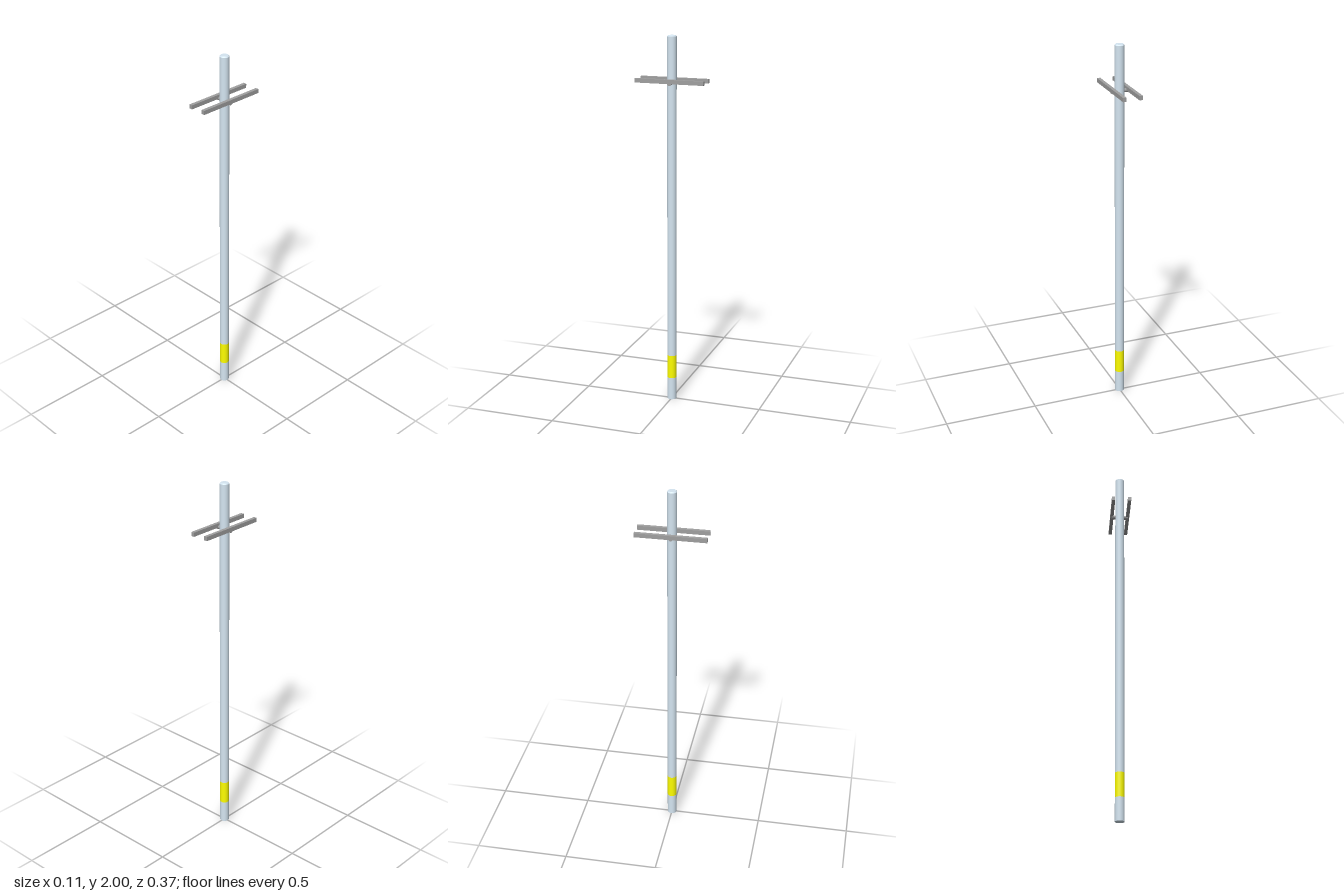
import * as THREE from 'three';

const paint = (color) => new THREE.MeshStandardMaterial({ color });

export function createModel() {
  const group = new THREE.Group();
  const steel = paint(0xd5e6f2), yellow = paint(0xffff00), dark = paint(0xa0a0a0);
  const R = 0.025, SIDES = 32;

  const add = (name, geometry, material, x = 0, y = 0, z = 0) => {
    const mesh = new THREE.Mesh(geometry, material);
    mesh.name = name;
    mesh.position.set(x, y, z);
    group.add(mesh);
    return mesh;
  };

  // Round post in stacked sections, flush with the warning band
  const section = (name, y0, y1, material) =>
    add(name, new THREE.CylinderGeometry(R, R, y1 - y0, SIDES, 1, true), material, 0, (y0 + y1) / 2);
  section('poleBase', 0, 0.125, steel);
  section('warningBand', 0.125, 0.255, yellow);
  section('poleShaft', 0.255, 1.995, steel);

  // Chamfered top and flat foot
  add('poleCap', new THREE.CylinderGeometry(0.02, R, 0.005, SIDES), steel, 0, 1.9975);
  add('poleFoot', new THREE.CircleGeometry(R, SIDES).rotateX(Math.PI / 2), steel);

  // Twin crossbars, each on a short round bracket
  for (const [side, s] of [['left', 1], ['right', -1]]) {
    add(side + 'Crossbar', new THREE.BoxGeometry(0.018, 0.022, 0.374), dark, s * 0.044, 1.766);
    const rod = new THREE.CylinderGeometry(0.011, 0.011, 0.03, 12).rotateZ(Math.PI / 2);
    add(side + 'Bracket', rod, dark, s * 0.032, 1.756);
  }
  return group;
}
